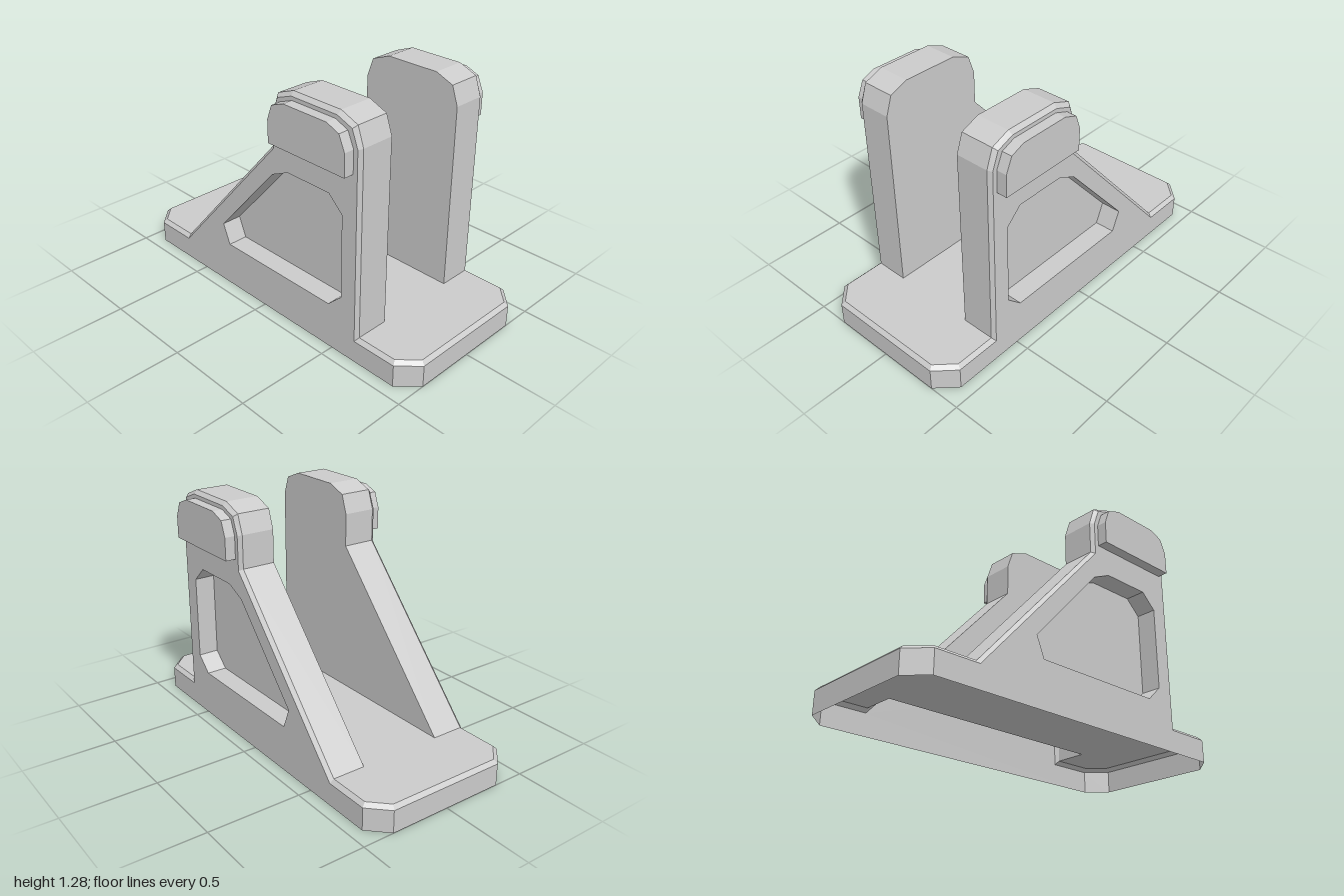
import * as THREE from 'three';

const material = new THREE.MeshStandardMaterial({
  color: 0xcccccc, flatShading: true, side: THREE.DoubleSide,
});

// Key sizes
const INNER = 0.23, CHAMFER = 0.41, OUTER = 0.43, POCKET = 0.32, TAB = 0.485;
const EDGE = 0.12, TOP = 0.14;

// Side profiles as [z, y], from front bottom over the top to the back
const uprightProfile = [[0.665, TOP], [0.665, 1.14], [0.63, 1.24], [0.53, 1.28], [0.23, 1.28],
  [0.125, 1.24], [0.09, 1.14], [0.09, 0.965], [-0.66, TOP]];
const uprightInset = [[0.65, EDGE], [0.65, 1.135], [0.615, 1.225], [0.525, 1.26], [0.235, 1.26],
  [0.14, 1.225], [0.105, 1.135], [0.105, 0.955], [-0.655, EDGE]];
const pocketProfile = [[0.475, 0.25], [0.56, 0.33], [0.56, 0.78], [0.475, 0.86], [0.2, 0.86],
  [0.09, 0.81], [-0.32, 0.36], [-0.275, 0.25]];
const tabProfile = [[0.625, 1.01], [0.625, 1.13], [0.59, 1.21], [0.515, 1.24], [0.24, 1.24],
  [0.16, 1.21], [0.13, 1.13], [0.13, 1.01]];

function part(name, geometry) {
  const mesh = new THREE.Mesh(geometry, material);
  mesh.name = name;
  return mesh;
}

// Band of quads between two matching paths of [x, y, z] points
function strip(a, b, closed = false) {
  const positions = [];
  const count = closed ? a.length : a.length - 1;
  for (let i = 0; i < count; i++) {
    const j = (i + 1) % a.length;
    positions.push(...a[i], ...a[j], ...b[j], ...a[i], ...b[j], ...b[i]);
  }
  const geometry = new THREE.BufferGeometry();
  geometry.setAttribute('position', new THREE.Float32BufferAttribute(positions, 3));
  geometry.computeVertexNormals();
  return geometry;
}

const atX = (profile, x) => profile.map(([z, y]) => [x, y, z]);
const atY = (outline, y) => outline.map(([x, z]) => [x, y, z]);

// Flat upright panel at a given x, facing +x (1) or -x (-1)
function panel(profile, x, facing, hole) {
  const toPoints = (p) => p.map(([z, y]) => new THREE.Vector2(-facing * z, y));
  const shape = new THREE.Shape(toPoints(profile));
  if (hole) shape.holes.push(new THREE.Path(toPoints(hole)));
  return new THREE.ShapeGeometry(shape).rotateY(facing * Math.PI / 2).translate(x, 0, 0);
}

// One hollow upright with its pocket and tab, flush with the base side
function createUpright() {
  const group = new THREE.Group();
  const side = [[0.9, 0], [0.9, EDGE], ...uprightInset, [-0.9, EDGE], [-0.9, 0]];
  group.add(
    part('outerFace', panel(side, OUTER, 1, pocketProfile)),
    part('innerFace', panel(uprightProfile, INNER, -1)),
    part('uprightRim', strip(atX(uprightProfile, CHAMFER), atX(uprightProfile, INNER))),
    part('uprightChamfer', strip(atX(uprightInset, OUTER), atX(uprightProfile, CHAMFER))),
    part('pocketWall', strip(atX(pocketProfile, POCKET), atX(pocketProfile, OUTER), true)),
    part('pocketFloor', panel(pocketProfile, POCKET, 1)),
    part('tabWall', strip(atX(tabProfile, TAB), atX(tabProfile, OUTER), true)),
    part('tabFace', panel(tabProfile, TAB, 1)),
  );
  return group;
}

// One end of the open-bottomed base: wall and chamfer (dir 1 front, -1 back)
function createBaseEnd(dir, lowZ, highZ) {
  const turn = (half) => [...half, ...half.map(([x, z]) => [-x, z]).reverse()]
    .map(([x, z]) => [x * dir, z * dir]);
  const corner = turn([[OUTER, 0.9], [0.33, 1]]);
  const low = turn([[OUTER, lowZ], [OUTER, 0.9], [0.33, 1]]);
  const high = turn([[CHAMFER, highZ], [CHAMFER, 0.89], [0.32, 0.98]]);
  const group = new THREE.Group();
  group.add(
    part('baseWall', strip(atY(corner, EDGE), atY(corner, 0))),
    part('baseChamfer', strip(atY(high, TOP), atY(low, EDGE))),
  );
  return group;
}

// Base top, cut out beneath the hollow uprights
function createBaseTop() {
  const half = [[0.32, 0.98], [CHAMFER, 0.89], [CHAMFER, 0.665], [INNER, 0.665],
    [INNER, -0.66], [CHAMFER, -0.66], [CHAMFER, -0.89], [0.32, -0.98]];
  const outline = [...half, ...half.map(([x, z]) => [-x, z]).reverse()];
  const shape = new THREE.Shape(outline.map(([x, z]) => new THREE.Vector2(x, -z)));
  return part('baseTop', new THREE.ShapeGeometry(shape).rotateX(-Math.PI / 2).translate(0, TOP, 0));
}

export function createModel() {
  const model = new THREE.Group();
  model.name = 'bracket';

  const frontEnd = createBaseEnd(1, 0.65, 0.665);
  frontEnd.name = 'baseFront';
  const backEnd = createBaseEnd(-1, 0.655, 0.66);
  backEnd.name = 'baseBack';
  model.add(createBaseTop(), frontEnd, backEnd);

  for (const [name, sign] of [['leftUpright', 1], ['rightUpright', -1]]) {
    const upright = createUpright();
    upright.name = name;
    upright.scale.x = sign;
    model.add(upright);
  }
  return model;
}
